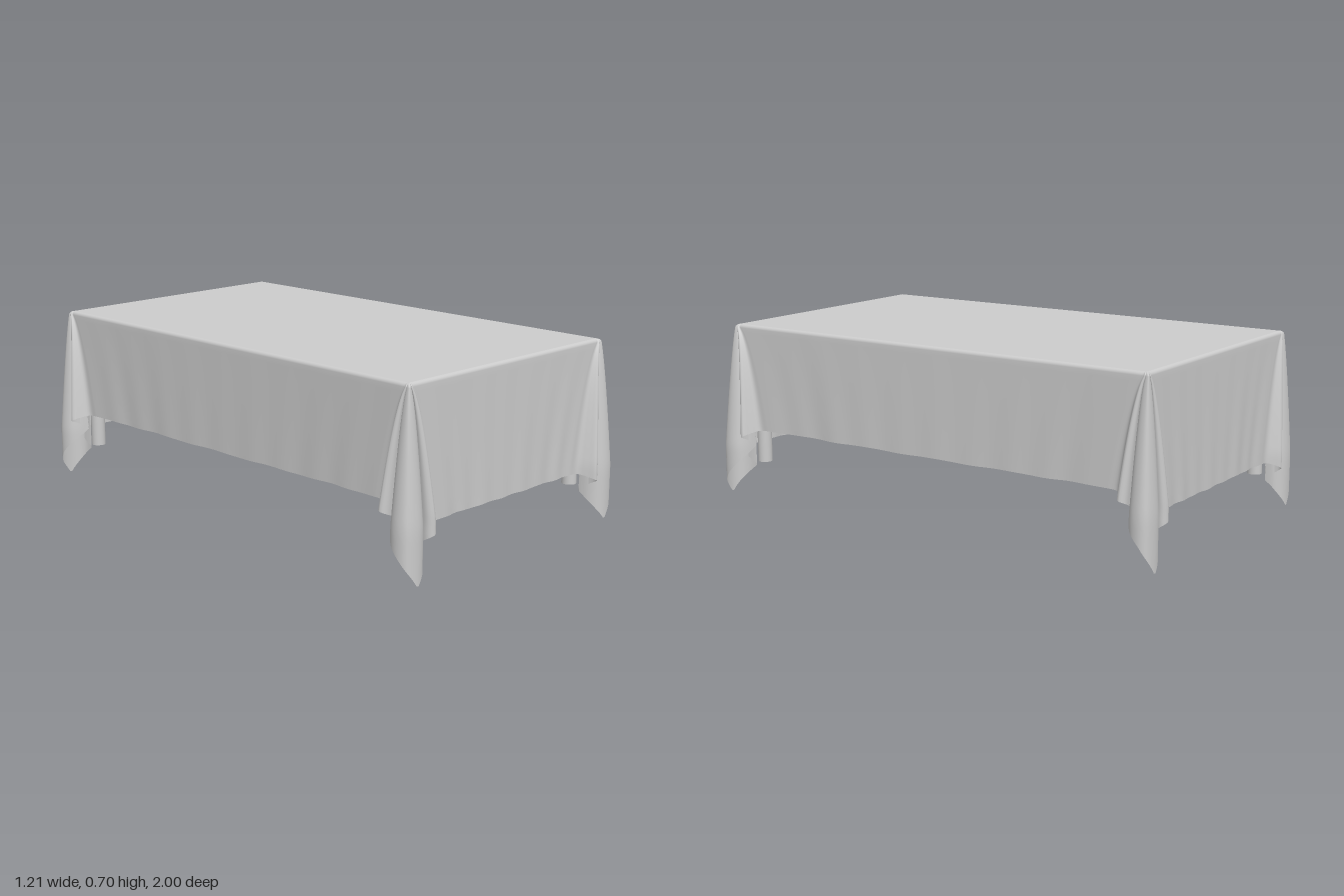
import * as THREE from 'three';

const HX = 0.541, HZ = 0.945, CZ = -0.01; // table edge half sizes, centre in z
const TOP = 0.71, EDGE = 0.014;           // cloth height, rounding of its edge
const DROP_END = 0.507, DROP_SIDE = 0.424; // overhang at the ends and the long sides
const SIDE_N = 60, CORNER_N = 80, ROWS = 26;

// Plan of one gathered corner, (along the incoming edge, outward), mirrored about the diagonal
function cornerPlan() {
  const half = [[-0.16, 0], [-0.115, 0.002], [-0.095, 0.03], [-0.075, 0.06], [-0.055, 0.045],
    [-0.056, 0.005], [-0.063, -0.03], [-0.056, 0.01], [-0.035, 0.04], [0, 0.05]];
  const pts = [...half, [0.038, 0.038], ...half.map(([a, b]) => [b, a]).reverse()];
  const curve = new THREE.CatmullRomCurve3(pts.map(([a, b]) => new THREE.Vector3(a, b, 0)));
  return Array.from({ length: CORNER_N + 1 }, (_, i) => curve.getPointAt(i / CORNER_N));
}

// Hanging cloth: a closed loop of columns, each dropping from the table edge to the hem
function skirtGeometry() {
  const plan = cornerPlan();
  const corners = [ // position signs, incoming direction d, outward n (x, z), bulge in x and z
    { sx: 1, sz: 1, d: [1, 0], n: [0, 1], outX: 1.12, outZ: 1 },
    { sx: 1, sz: -1, d: [0, -1], n: [1, 0], outX: 1.08, outZ: 0.75 },
    { sx: -1, sz: -1, d: [-1, 0], n: [0, -1], outX: 1.1, outZ: 0.75 },
    { sx: -1, sz: 1, d: [0, 1], n: [-1, 0], outX: 1.08, outZ: 0.95 },
  ];
  // Folds reach along the edge quickly below the top, and bulge outward more slowly
  const shift = (v, r, out) => v < 0
    ? v * Math.min(1.04, Math.pow(r / 0.44, 0.5))
    : v * out * Math.min(1.04, Math.pow(r / 0.44, 0.75));
  const place = (c, p, r, inset) => {
    const ox = c.sx * (c.d[0] * p.x + c.n[0] * p.y), oz = c.sz * (c.d[1] * p.x + c.n[1] * p.y);
    return [c.sx * (HX - inset + shift(ox, r, c.outX)), c.sz * (HZ - inset + shift(oz, r, c.outZ))];
  };
  const pos = [], index = [];

  // One column; xz(r, inset) gives the plan position at cloth distance r from the edge
  const column = (hem, stretch, xz) => {
    for (let j = 0; j <= ROWS; j++) {
      let r, inset = 0, drop;
      if (j <= 4) {
        const phi = (j / 4) * Math.PI / 2;
        r = EDGE * j / 4;
        inset = EDGE * (1 - Math.sin(phi));
        drop = EDGE * (1 - Math.cos(phi));
      } else {
        r = EDGE + (hem - EDGE) * (j - 4) / (ROWS - 4);
        drop = r * stretch;
      }
      const [x, z] = xz(r, inset);
      pos.push(x, TOP - drop, z + CZ);
    }
  };

  corners.forEach((c, k) => {
    const prev = corners[(k + 3) % 4];
    const isEnd = k % 2 === 0;
    const dropIn = isEnd ? DROP_END : DROP_SIDE, dropOut = isEnd ? DROP_SIDE : DROP_END;
    // Straight side with faint ripples, strongest near the corners
    for (let i = 0; i < SIDE_N; i++) {
      const t = i / SIDE_N;
      const near = Math.pow(Math.abs(2 * t - 1), 2);
      const fade = Math.min(1, 8 * t, 8 * (1 - t));
      const wave = Math.sin(t * (isEnd ? 44 : 60) + k) + 0.6 * Math.sin(t * 23 + 2 * k);
      const hem = dropIn + 0.0015 * fade * Math.sin(t * 31 + k);
      column(hem, 1, (r, inset) => {
        const a = place(prev, plan[CORNER_N], r, inset), b = place(c, plan[0], r, inset);
        const out = fade * (0.0012 + 0.003 * near) * (wave - 1.6) * (r / dropIn);
        return [a[0] + (b[0] - a[0]) * t + c.n[0] * out, a[1] + (b[1] - a[1]) * t + c.n[1] * out];
      });
    }
    // Gathered corner: the square cloth corner hangs as a pointed fold
    for (let i = 0; i < CORNER_N; i++) {
      const angle = (i / CORNER_N) * Math.PI / 2;
      const hem = Math.min(dropIn / Math.cos(angle), dropOut / Math.max(1e-6, Math.sin(angle)));
      column(hem, 1 + 0.07 * Math.sin(2 * angle) ** 2, (r, inset) => place(c, plan[i], r, inset));
    }
  });

  const cols = pos.length / 3 / (ROWS + 1);
  for (let i = 0; i < cols; i++) {
    for (let j = 0; j < ROWS; j++) {
      const a = i * (ROWS + 1) + j, b = ((i + 1) % cols) * (ROWS + 1) + j;
      index.push(a, a + 1, b + 1, a, b + 1, b);
    }
  }
  const g = new THREE.BufferGeometry();
  g.setAttribute('position', new THREE.Float32BufferAttribute(pos, 3));
  g.setIndex(index);
  g.computeVertexNormals();
  return g;
}

export function createModel() {
  const group = new THREE.Group();
  group.name = 'tableWithCloth';
  const grey = new THREE.MeshStandardMaterial({ color: 0xcccccc });
  const cloth = new THREE.MeshStandardMaterial({ color: 0xcccccc, side: THREE.DoubleSide });
  const add = (name, geometry, material, x, y, z) => {
    const mesh = new THREE.Mesh(geometry, material);
    mesh.name = name;
    mesh.position.set(x, y, z);
    group.add(mesh);
  };

  // Tablecloth
  const flat = new THREE.PlaneGeometry(2 * (HX - EDGE), 2 * (HZ - EDGE)).rotateX(-Math.PI / 2);
  add('clothTop', flat, cloth, 0, TOP, CZ);
  add('clothSkirt', skirtGeometry(), cloth, 0, 0, 0);

  // Table under the cloth
  add('tabletop', new THREE.BoxGeometry(2 * HX - 0.03, 0.055, 2 * HZ - 0.03), grey, 0, TOP - 0.036, CZ);
  const leg = new THREE.CylinderGeometry(0.029, 0.029, 0.52, 32);
  for (const sx of [-1, 1]) {
    for (const sz of [-1, 1]) {
      add('leg', leg, grey, sx * 0.47, 0.14 + 0.26, CZ + sz * 0.875);
    }
  }
  return group;
}
